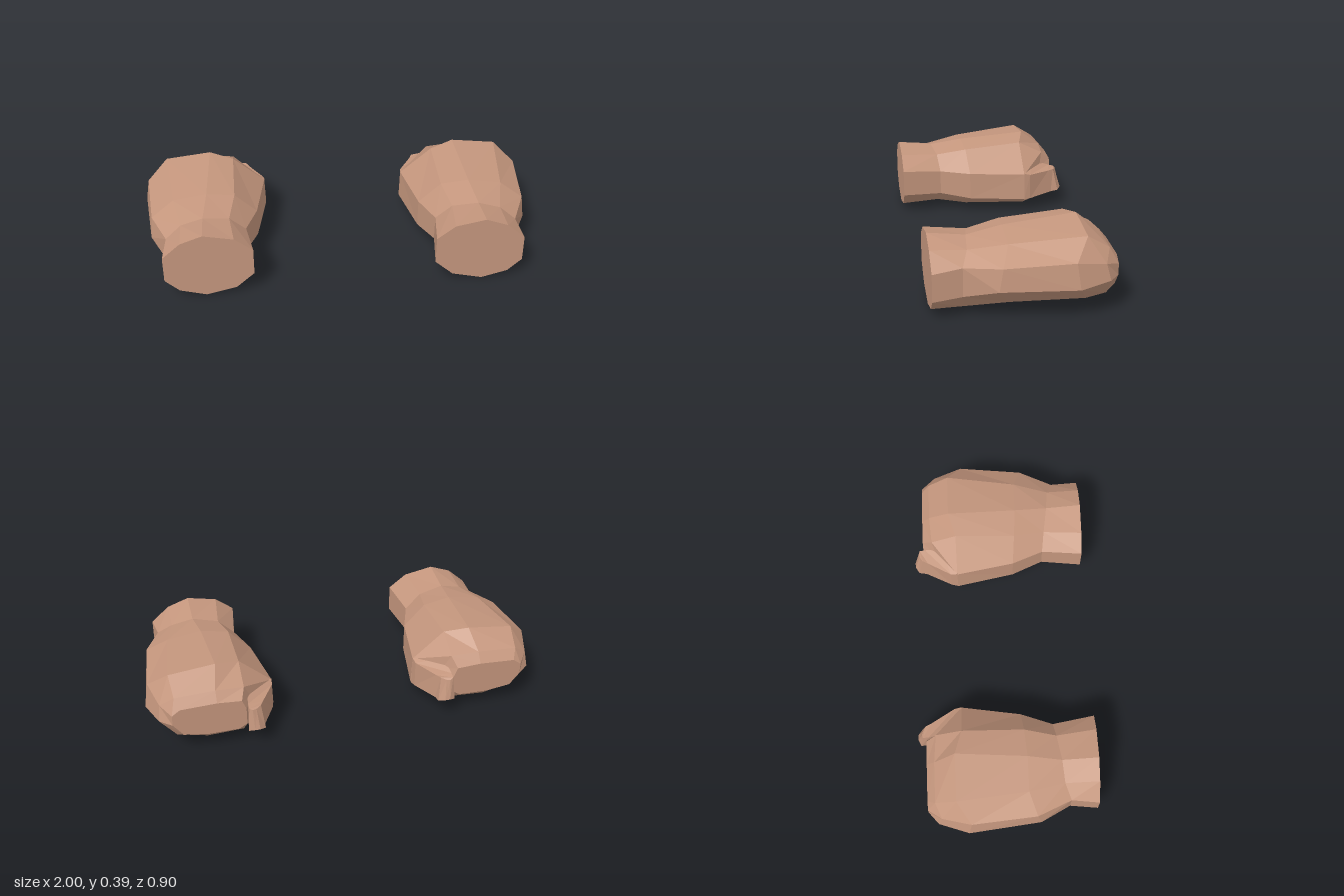
import * as THREE from 'three';

const skin = new THREE.MeshStandardMaterial({ color: 0xc4967d, flatShading: true });

// Cross-sections of the fist, each a loop of ten [x, y, z] corners,
// starting at the top and going over the outer side.
const cuff = [
  [0.69, 0.36, 0.45], [0.8, 0.32, 0.45], [0.89, 0.24, 0.45], [0.89, 0.105, 0.45], [0.82, 0.04, 0.45],
  [0.69, 0.005, 0.45], [0.54, 0.04, 0.45], [0.45, 0.12, 0.45], [0.45, 0.26, 0.45], [0.54, 0.33, 0.45]];
const wrist = [
  [0.69, 0.338, 0.27], [0.8, 0.31, 0.28], [0.875, 0.255, 0.31], [0.875, 0.115, 0.31], [0.82, 0.042, 0.3],
  [0.69, 0.025, 0.27], [0.56, 0.045, 0.25], [0.48, 0.11, 0.24], [0.48, 0.24, 0.24], [0.56, 0.315, 0.25]];
const palm = [
  [0.67, 0.367, 0.1], [0.84, 0.34, 0.1], [0.95, 0.27, 0.14], [0.96, 0.163, 0.16], [0.87, 0.07, 0.1],
  [0.71, 0.018, 0.1], [0.53, 0.025, 0.09], [0.42, 0.09, 0.08], [0.42, 0.235, 0.08], [0.53, 0.345, 0.09]];
const knuckles = [
  [0.65, 0.397, -0.255], [0.88, 0.37, -0.255], [0.98, 0.285, -0.185], [1.0, 0.163, -0.2], [0.89, 0.07, -0.25],
  [0.72, 0.018, -0.25], [0.5, 0.02, -0.24], [0.365, 0.085, -0.22], [0.37, 0.23, -0.22], [0.53, 0.37, -0.22]];
const fingerBend = [
  [0.67, 0.315, -0.36], [0.87, 0.305, -0.36], [0.94, 0.255, -0.33], [0.95, 0.175, -0.35], [0.87, 0.08, -0.35],
  [0.72, 0.04, -0.345], [0.54, 0.045, -0.34], [0.49, 0.1, -0.33], [0.49, 0.22, -0.33], [0.53, 0.305, -0.35]];
const fingerFront = [
  [0.67, 0.268, -0.4], [0.85, 0.26, -0.4], [0.89, 0.23, -0.4], [0.89, 0.175, -0.4], [0.84, 0.11, -0.4],
  [0.72, 0.092, -0.4], [0.57, 0.095, -0.4], [0.53, 0.12, -0.4], [0.53, 0.21, -0.4], [0.55, 0.26, -0.4]];

// Thumb sections: inner top, outer top, outer bottom, inner bottom.
const thumb = [
  [[0.37, 0.235, -0.22], [0.53, 0.28, -0.22], [0.53, 0.08, -0.22], [0.367, 0.082, -0.22]],
  [[0.375, 0.225, -0.255], [0.51, 0.265, -0.3], [0.51, 0.075, -0.3], [0.375, 0.085, -0.255]],
  [[0.445, 0.22, -0.375], [0.52, 0.23, -0.39], [0.525, 0.09, -0.41], [0.44, 0.095, -0.39]],
  [[0.46, 0.222, -0.405], [0.52, 0.222, -0.42], [0.53, 0.1, -0.435], [0.445, 0.1, -0.43]],
  [[0.485, 0.215, -0.42], [0.505, 0.215, -0.425], [0.5, 0.11, -0.45], [0.475, 0.11, -0.45]]];

// Skins a row of loops running from +z to -z; side -1 mirrors it in x.
function loft(name, rings, side) {
  const n = rings[0].length;
  const positions = [];
  const tri = (a, b, c) => {
    for (const p of side > 0 ? [a, b, c] : [a, c, b]) positions.push(p[0] * side, p[1], p[2]);
  };
  const centre = (ring) => [0, 1, 2].map((k) => ring.reduce((sum, p) => sum + p[k], 0) / n);
  const first = rings[0], last = rings[rings.length - 1];
  const start = centre(first), end = centre(last);
  for (let i = 0; i < n; i++) {
    const j = (i + 1) % n;
    for (let r = 0; r < rings.length - 1; r++) {
      const a = rings[r], b = rings[r + 1];
      tri(a[i], a[j], b[j]);
      tri(a[i], b[j], b[i]);
    }
    tri(start, first[j], first[i]);
    tri(end, last[i], last[j]);
  }
  const geometry = new THREE.BufferGeometry();
  geometry.setAttribute('position', new THREE.Float32BufferAttribute(positions, 3));
  // Caps and sides wind outwards for clockwise loops seen from the front.
  geometry.computeVertexNormals();
  const mesh = new THREE.Mesh(geometry, skin);
  mesh.name = name;
  return mesh;
}

function createHand(name, side) {
  const hand = new THREE.Group();
  hand.name = name;
  hand.add(
    loft('wrist', [cuff, wrist], side),
    loft('fist', [wrist, palm, knuckles, fingerBend, fingerFront], side),
    loft('thumb', thumb, side));
  return hand;
}

export function createModel() {
  const model = new THREE.Group();
  model.name = 'pairOfFists';
  model.add(createHand('leftHand', 1), createHand('rightHand', -1));
  return model;
}
